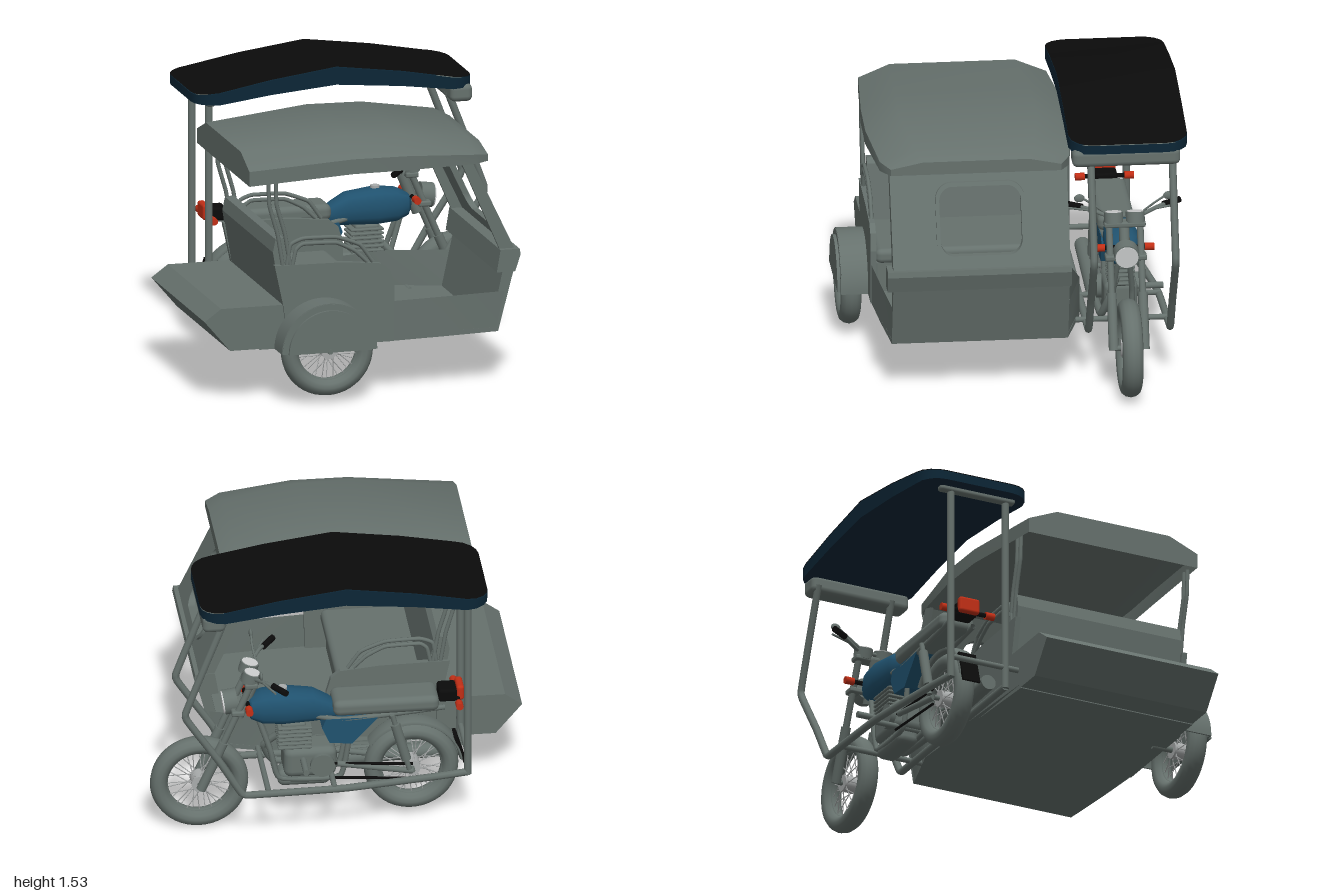
import * as THREE from 'three';
import { mergeGeometries, toCreasedNormals } from 'three/addons/utils/BufferGeometryUtils.js';
import { RoundedBoxGeometry } from 'three/addons/geometries/RoundedBoxGeometry.js';

const mat = (name, color) => Object.assign(
  new THREE.MeshStandardMaterial({ color, side: THREE.DoubleSide }), { name });
const V = (p) => new THREE.Vector3(...p);
const ZB = -0.57; // centre plane of the motorcycle
const ZS = 0.22; // centre plane of the sidecar

// Cylinder between two points
function rodGeo(a, b, r, sides = 12) {
  const p = V(a), d = V(b).sub(p);
  const g = new THREE.CylinderGeometry(r, r, d.length(), sides);
  g.applyQuaternion(new THREE.Quaternion().setFromUnitVectors(V([0, 1, 0]), d.clone().normalize()));
  return g.translate(...p.addScaledVector(d, 0.5).toArray());
}

// Skin over cross-sections, optionally closed round the ring, with end caps
function loft(sections, closed = false) {
  const n = sections[0].length, idx = [];
  for (let s = 0; s < sections.length - 1; s++)
    for (let i = 0; i < (closed ? n : n - 1); i++) {
      const a = s * n + i, b = s * n + (i + 1) % n;
      idx.push(a, a + n, b + n, a, b + n, b);
    }
  for (let i = 1; i < n - 1; i++) {
    const e = (sections.length - 1) * n;
    idx.push(0, i, i + 1, e, e + i + 1, e + i);
  }
  const g = new THREE.BufferGeometry();
  g.setAttribute('position', new THREE.Float32BufferAttribute(sections.flat(2), 3));
  g.setIndex(idx);
  return toCreasedNormals(g, 0.6);
}

const outline = (pts) => new THREE.Shape(pts.map((p) => new THREE.Vector2(...p)));
const extrude = (shape, depth) =>
  new THREE.ExtrudeGeometry(shape, { depth, bevelEnabled: false, curveSegments: 16 });
// Side-on outline extruded from z0 to z1
const plate = (pts, z0, z1) => extrude(outline(pts), z1 - z0).translate(0, 0, z0);

function roundRect(target, x0, y0, x1, y1, r) {
  target.moveTo(x0 + r, y0).lineTo(x1 - r, y0);
  target.absarc(x1 - r, y0 + r, r, -Math.PI / 2, 0).absarc(x1 - r, y1 - r, r, 0, Math.PI / 2);
  target.absarc(x0 + r, y1 - r, r, Math.PI / 2, Math.PI).absarc(x0 + r, y0 + r, r, Math.PI, Math.PI * 1.5);
  return target;
}

export function createModel() {
  const root = new THREE.Group();
  const grey = mat('body grey', 0x66716d), blue = mat('tank blue', 0x20526f);
  const navy = mat('canopy navy', 0x0c2636), black = mat('black', 0x0b0b0b);
  const silver = mat('silver', 0xa9acac), red = mat('lamp red', 0xc22f16), lens = mat('lens', 0xcfd1d1);
  const add = (name, geo, m = grey, parent = root) => {
    const o = new THREE.Mesh(geo, m);
    o.name = name;
    parent.add(o);
  };
  const rod = (name, a, b, r, m, sides) => add(name, rodGeo(a, b, r, sides), m);
  const tube = (name, pts, r) => add(name, new THREE.TubeGeometry(
    new THREE.CatmullRomCurve3(pts.map(V), false, 'catmullrom', 0.2), pts.length * 8, r, 8));
  const box = (name, x0, x1, y0, y1, z0, z1, m = grey, r = 0.015) => add(name,
    new RoundedBoxGeometry(x1 - x0, y1 - y0, z1 - z0, 2, r)
      .translate((x0 + x1) / 2, (y0 + y1) / 2, (z0 + z1) / 2), m);

  // Wheels
  function wheel(name, x, y, z, r) {
    const w = new THREE.Group();
    w.name = name;
    add('tyre', new THREE.TorusGeometry(r - 0.046, 0.046, 12, 48).scale(1, 1, 1.2), grey, w);
    add('rim', new THREE.TorusGeometry(r - 0.083, 0.012, 8, 48).scale(1, 1, 2), grey, w);
    add('hub', rodGeo([0, 0, -0.045], [0, 0, 0.045], 0.045, 20), silver, w);
    add('axle', rodGeo([0, 0, -0.075], [0, 0, 0.075], 0.014), grey, w);
    const spokes = [];
    for (let i = 0; i < 32; i++) {
      const a = i * Math.PI / 16, b = a + (i % 4 < 2 ? 0.4 : -0.4), s = i % 2 ? 1 : -1, R = r - 0.085;
      spokes.push(rodGeo([0.04 * Math.cos(a), 0.04 * Math.sin(a), s * 0.035],
        [R * Math.cos(b), R * Math.sin(b), s * 0.008], 0.0028, 5));
    }
    add('spokes', mergeGeometries(spokes), silver, w);
    w.position.set(x, y, z);
    root.add(w);
  }
  wheel('frontWheel', 0.74, 0.265, ZB, 0.26);
  wheel('rearWheel', -0.38, 0.29, ZB, 0.25);
  wheel('sidecarWheel', -0.36, 0.29, 0.81, 0.25);

  // Motorcycle canopy: bent slab with rounded corners
  const lerpTable = (t, x) => {
    const i = Math.max(1, t.findIndex((p) => p[0] >= x)), [a, b] = [t[i - 1], t[i]];
    return a[1] + (b[1] - a[1]) * (x - a[0]) / (b[0] - a[0]);
  };
  const half = [0, 0.36, 0.64, 0.69, 0.73, 0.752, 0.76];
  const canopy = [...half.slice(1).reverse().map((x) => -x), ...half].map((x) => {
    const a = Math.abs(x), d = Math.max(0, a - 0.64);
    return { x, hw: 0.1925 + Math.sqrt(Math.max(0, 0.0144 - d * d)),
      top: lerpTable([[0, 1.535], [0.36, 1.487], [0.64, 1.435], [0.76, 1.422]], a),
      low: lerpTable([[0, 1.437], [0.36, 1.405], [0.64, 1.368], [0.76, 1.37]], a) };
  });
  add('canopyTop', loft(canopy.map(({ x, hw, top }) => [[x, top, ZB - hw], [x, top, ZB + hw]])), black);
  add('canopyBody', loft(canopy.map(({ x, hw, top, low }) =>
    [[x, top - 0.004, ZB - hw], [x, low, ZB - hw], [x, low, ZB + hw], [x, top - 0.004, ZB + hw]])), navy);
  box('canopyFrontBracket', 0.63, 0.752, 1.29, 1.385, -0.84, -0.27, grey, 0.03);
  box('canopyRearBracket', -0.69, -0.64, 1.345, 1.385, -0.76, -0.32);
  for (const z of [-0.805, -0.375])
    tube('canopyFrontPost', [[0.64, 1.33, z], [0.74, 1.07, z], [0.84, 0.8, z], [0.82, 0.74, z],
      [0.66, 0.5, z], [0.54, 0.3, z], [0.48, 0.29, z]], 0.02);
  for (const z of [-0.69, -0.37]) rod('canopyRearPost', [-0.665, 0.28, z], [-0.665, 1.37, z], 0.02);
  tube('sideRail', [[0.5, 0.29, -0.805], [0, 0.29, -0.79], [-0.5, 0.29, -0.72], [-0.665, 0.29, -0.69]], 0.02);
  rod('innerRail', [0.5, 0.29, -0.375], [-0.665, 0.29, -0.37], 0.02);
  for (const x of [0.4, 0.05]) rod('crossBar', [x, 0.3, -0.8], [x, 0.3, -0.25], 0.015);
  rod('rearCrossBar', [-0.665, 0.4, -0.69], [-0.665, 0.4, -0.29], 0.015);
  rod('footBar', [0.2, 0.4, -0.8], [0.2, 0.4, ZB], 0.017);

  // Motorcycle body
  const tank = [[0, 0.62, 0.68, 0.045], [0.06, 0.605, 0.725, 0.065], [0.14, 0.6, 0.77, 0.08],
    [0.3, 0.595, 0.79, 0.095], [0.41, 0.605, 0.78, 0.09], [0.47, 0.63, 0.755, 0.065], [0.49, 0.66, 0.73, 0.03]];
  const soften = (v) => Math.sign(v) * Math.pow(Math.abs(v), 0.7);
  const tankRing = ([x, lo, hi, hw]) => Array.from({ length: 16 }, (_, i) => {
    const a = i * Math.PI / 8;
    return [x, (lo + hi) / 2 + soften(Math.sin(a)) * (hi - lo) / 2, ZB + soften(Math.cos(a)) * hw];
  });
  add('fuelTank', loft(tank.map(tankRing), true), blue);
  rod('fuelCap', [0.3, 0.78, ZB], [0.3, 0.8, ZB], 0.025, silver, 16);
  add('sideCovers', plate([[-0.2, 0.63], [0.08, 0.63], [0.1, 0.58], [0.06, 0.49], [-0.06, 0.48]],
    ZB - 0.085, ZB + 0.085), blue);
  box('saddle', -0.52, 0.04, 0.645, 0.735, ZB - 0.1, ZB + 0.1, grey, 0.035);
  box('engineBlock', 0.02, 0.3, 0.29, 0.46, ZB - 0.09, ZB + 0.09, grey, 0.04);
  box('engineSump', 0.05, 0.33, 0.225, 0.32, ZB - 0.06, ZB + 0.06, grey, 0.035);
  for (let i = 0; i < 6; i++)
    box('coolingFin', 0.15, 0.33, 0.455 + i * 0.023, 0.468 + i * 0.023, ZB - 0.07, ZB + 0.07, grey, 0.005);
  box('cylinder', 0.18, 0.31, 0.44, 0.6, ZB - 0.05, ZB + 0.05);
  for (const s of [-1, 1]) {
    rod('engineCover', [0.1, 0.37, ZB + s * 0.08], [0.1, 0.37, ZB + s * 0.115], 0.065, grey, 20);
    rod('swingArm', [-0.38, 0.29, ZB + s * 0.075], [0.02, 0.36, ZB + s * 0.075], 0.016);
    rod('shock', [-0.36, 0.31, ZB + s * 0.09], [-0.27, 0.64, ZB + s * 0.09], 0.014);
    rod('shockSpring', [-0.345, 0.37, ZB + s * 0.09], [-0.285, 0.585, ZB + s * 0.09], 0.026);
    tube('seatFrame', [[0.44, 0.72, ZB + s * 0.03], [0.0, 0.62, ZB + s * 0.07], [-0.55, 0.66, ZB + s * 0.07]], 0.015);
    tube('downTube', [[0.46, 0.72, ZB + s * 0.02], [0.37, 0.45, ZB + s * 0.05], [0.32, 0.28, ZB + s * 0.05],
      [0, 0.28, ZB + s * 0.06], [-0.06, 0.62, ZB + s * 0.06]], 0.015);
    // Steering and lamps on both sides
    const f = ZB + s * 0.082;
    rod('forkLeg', [0.74, 0.255, f], [0.62, 0.53, f], 0.026);
    rod('forkTube', [0.62, 0.53, f], [0.452, 0.92, f], 0.018);
    tube('handlebar', [[0.46, 0.9, ZB], [0.46, 0.9, ZB + s * 0.08], [0.4, 0.925, ZB + s * 0.19],
      [0.32, 0.925, ZB + s * 0.3]], 0.011);
    rod('grip', [0.375, 0.925, ZB + s * 0.215], [0.315, 0.925, ZB + s * 0.305], 0.017, black);
    rod('lever', [0.42, 0.92, ZB + s * 0.17], [0.37, 0.92, ZB + s * 0.29], 0.006);
    tube('mirrorStem', [[0.43, 0.91, ZB + s * 0.1], [0.44, 0.96, ZB + s * 0.16], [0.44, 1, ZB + s * 0.22]], 0.006);
    add('mirror', new THREE.SphereGeometry(0.028, 16, 10).scale(0.35, 0.8, 1)
      .translate(0.44, 1, ZB + s * 0.235));
    const g = ZB + s * 0.057;
    rod('gauge', [0.48, 0.87, g], [0.465, 0.925, g], 0.05, grey, 20);
    rod('gaugeFace', [0.465, 0.925, g], [0.464, 0.929, g], 0.043, lens, 20);
    for (const [x, y] of [[0.49, 0.735], [-0.62, 0.7]]) {
      rod('indicatorStem', [x, y, ZB + s * 0.04], [x, y, ZB + s * 0.11], 0.012, black);
      rod('indicator', [x, y, ZB + s * 0.105], [x, y, ZB + s * 0.155], 0.02, red);
    }
  }
  rod('steeringHead', [0.53, 0.64, ZB], [0.44, 0.86, ZB], 0.028);
  for (const [x, y] of [[0.545, 0.705], [0.475, 0.865]])
    box('forkClamp', x - 0.035, x + 0.035, y - 0.015, y + 0.015, ZB - 0.11, ZB + 0.11, grey, 0.01);
  rod('headlight', [0.54, 0.735, ZB], [0.61, 0.725, ZB], 0.066, grey, 24);
  rod('headlightLens', [0.61, 0.725, ZB], [0.618, 0.724, ZB], 0.06, lens, 24);
  box('tailLampHousing', -0.62, -0.52, 0.68, 0.75, ZB - 0.06, ZB + 0.06, black);
  box('tailLamp', -0.655, -0.615, 0.685, 0.77, ZB - 0.06, ZB + 0.06, red);
  add('rearFender', new THREE.TorusGeometry(0.265, 0.012, 8, 32, 2.4).scale(1, 1, 5)
    .rotateZ(0.6).translate(-0.38, 0.29, ZB));
  add('mudFlap', plate([[-0.62, 0.46], [-0.6, 0.46], [-0.66, 0.28], [-0.675, 0.28]], ZB - 0.05, ZB + 0.05), black);
  tube('exhaustPipe', [[0.32, 0.5, -0.54], [0.39, 0.42, -0.5], [0.33, 0.3, -0.46], [0, 0.28, -0.455]], 0.02);
  rod('muffler', [0, 0.29, -0.455], [-0.64, 0.31, -0.455], 0.042, grey, 16);
  for (const y of [0.25, 0.335]) rod('chain', [-0.38, y, -0.65], [0.05, y + 0.03, -0.65], 0.007, black);

  // Sidecar floor, luggage box and seat
  add('floor', loft([0.285, 0.31].map((y) => [[-0.7, y, -0.295], [-0.7, y, 0.715], [0.03, y, 0.715],
    [0.3, y, 0.7], [0.61, y, 0.67], [0.61, y, -0.26], [0.3, y, -0.35], [0.03, y, -0.295]]), true));
  add('luggageBox', plate([[-0.86, 0.29], [-0.55, 0.29], [-0.55, 0.52], [-0.91, 0.52], [-1, 0.455]], -0.295, 0.715));
  box('seatBase', -0.56, -0.08, 0.3, 0.48, -0.27, 0.69);
  box('seatCushion', -0.56, -0.05, 0.47, 0.55, -0.27, 0.69, grey, 0.03);
  add('backrest', plate([[-0.57, 0.5], [-0.48, 0.5], [-0.535, 0.85], [-0.56, 0.875], [-0.605, 0.87], [-0.62, 0.8]],
    -0.27, 0.69));
  for (const s of [-1, 1]) {
    const z = ZS + s * 0.49;
    add('sidePanel', plate([[-0.55, 0.285], [0.03, 0.285], [0.035, 0.58], [0.01, 0.67], [-0.04, 0.71],
      [-0.25, 0.73], [-0.62, 0.735], [-0.57, 0.5]], z - 0.015, z + 0.015));
    const zs = s > 0 ? [0.67, 0.7, 0.72] : [-0.26, -0.35, -0.295];
    add('lowerSidePanel', loft([[[0.6, 0.285, zs[0]], [0.65, 0.5, zs[0]]],
      [[0.3, 0.285, zs[1]], [0.3, 0.5, zs[1]]], [[0.03, 0.285, zs[2]], [0.03, 0.5, zs[2]]]]));
    for (const d of [0, 0.03])
      tube('armRail', [[-0.55 + d, 0.72, z], [-0.53 + d, 0.84 - d, z], [-0.46, 0.87 - d, z], [-0.28, 0.865 - d, z],
        [-0.15 - d, 0.815 - d, z], [-0.08 - d, 0.72, z]], 0.011);
    for (const d of [0, 0.04])
      tube('roofPost', [[-0.65 + d, 1.2, z], [-0.645 + d, 1.06, z], [-0.6 + d, 0.9, z], [-0.57 + d, 0.72, z]], 0.011);
    const e = s > 0 ? 0.65 : -0.265;
    add('windscreenPillar', plate([[0.41, 1.22], [0.46, 1.22], [0.695, 0.725], [0.625, 0.725]], e, e + 0.02));
  }

  // Sidecar nose and windscreen frame
  add('noseBand', plate([[0.6, 0.61], [0.7, 0.61], [0.73, 0.7], [0.725, 0.73], [0.62, 0.73]], -0.27, 0.7));
  add('nose', plate([[0.57, 0.285], [0.615, 0.285], [0.7, 0.61], [0.64, 0.61]], -0.26, 0.67));
  const slope = (geo) => { // lays a front-on outline onto the raked screen plane
    const p = geo.attributes.position;
    for (let i = 0; i < p.count; i++) {
      const [u, y, d] = [p.getX(i), p.getY(i), p.getZ(i)];
      p.setXYZ(i, 0.685 - (y - 0.725) * 0.475 + d, y, -u);
    }
    geo.computeVertexNormals();
    return geo;
  };
  const screen = outline([[-0.67, 0.725], [0.265, 0.725], [0.265, 1.23], [-0.67, 1.23]]);
  screen.holes.push(roundRect(new THREE.Path(), -0.42, 0.79, 0.02, 1.13, 0.07));
  add('windscreenPanel', slope(extrude(screen, 0.02)));
  const trim = roundRect(new THREE.Shape(), -0.435, 0.775, 0.035, 1.145, 0.085);
  trim.holes.push(roundRect(new THREE.Path(), -0.415, 0.795, 0.015, 1.125, 0.07));
  add('windowTrim', slope(extrude(trim, 0.035)));

  // Sidecar roof: faceted shell with chamfered edges
  const roof = [[-0.755, 1.32, 1.25, 1.17, 0.33, 0.495], [-0.2, 1.375, 1.29, 1.21, 0.355, 0.535],
    [0.1, 1.368, 1.288, 1.212, 0.36, 0.54], [0.48, 1.32, 1.26, 1.21, 0.31, 0.5], [0.56, 1.28, 1.245, 1.21, 0.28, 0.45]];
  add('sidecarRoof', loft(roof.map(([x, t, m, b, ht, ho]) => [[x, b, ZS - ho], [x, m, ZS - ho],
    [x, t, ZS - ht], [x, t, ZS + ht], [x, m, ZS + ho], [x, b, ZS + ho]])));

  // Sidecar wheel guard: open arch with a stepped outer cover
  const arch = (r, inner) => {
    const s = new THREE.Shape().absarc(0, 0, r, 0, Math.PI, false);
    return inner ? s.absarc(0, 0, inner, Math.PI, 0, true) : s;
  };
  for (const [name, r, inner, z0, z1] of [['guardArch', 0.26, 0.251, 0.72, 0.865],
    ['guardCover', 0.257, 0, 0.858, 0.868], ['guardCap', 0.225, 0, 0.867, 0.884]])
    add(name, toCreasedNormals(extrude(arch(r, inner), z1 - z0), 0.5).translate(-0.36, 0.287, z0));
  rod('sidecarAxle', [-0.36, 0.29, 0.65], [-0.36, 0.29, 0.87], 0.016);
  return root;
}
